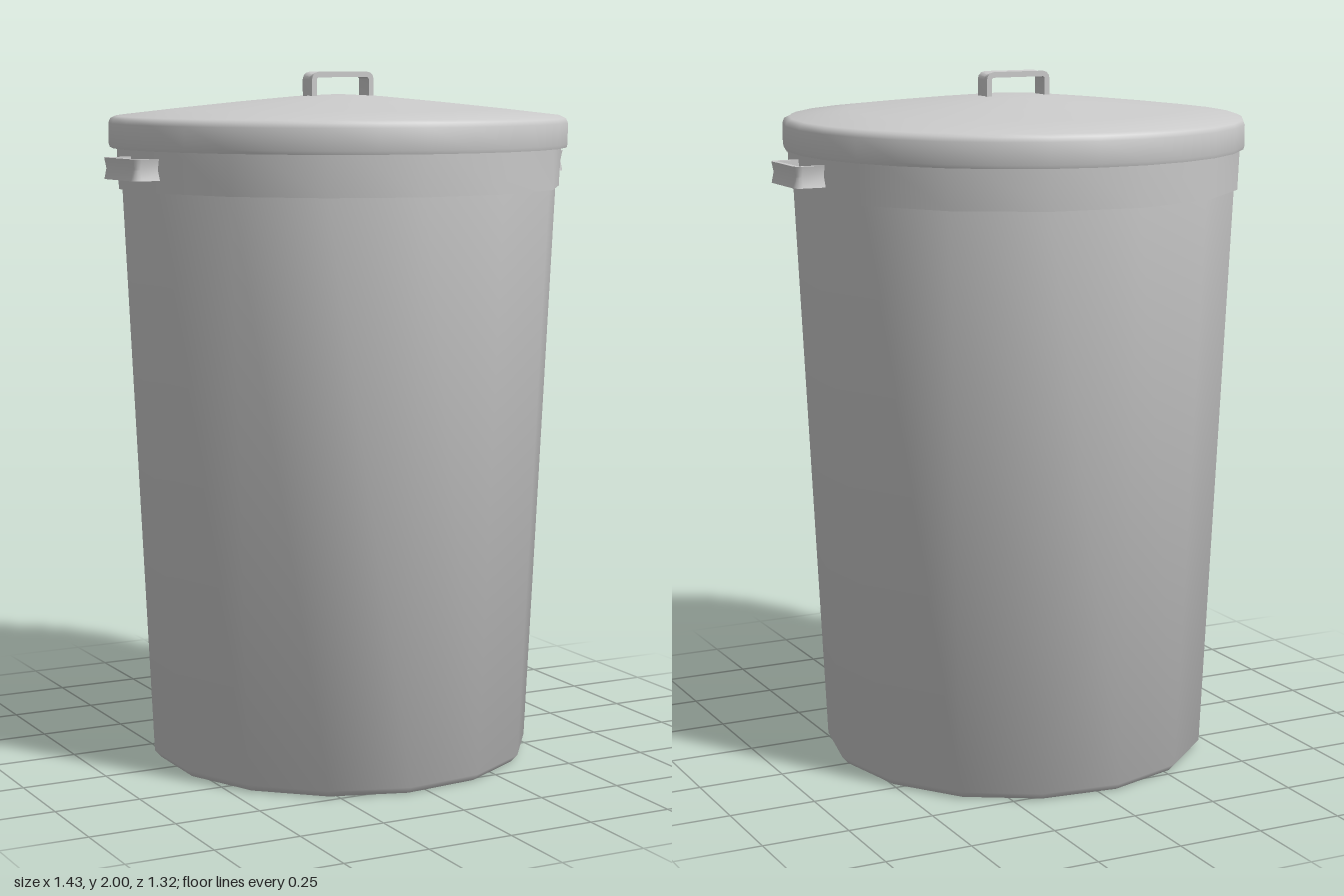
import * as THREE from 'three';
import { toCreasedNormals } from 'three/addons/utils/BufferGeometryUtils.js';

const material = new THREE.MeshStandardMaterial({ color: 0xcccccc });

// Solid of revolution with one corner pointing along +x
function turned(name, profile, sides) {
  const points = profile.map(([r, y]) => new THREE.Vector2(r, y));
  const lathe = new THREE.LatheGeometry(points, sides, Math.PI / 2);
  const mesh = new THREE.Mesh(toCreasedNormals(lathe, 0.9), material);
  mesh.name = name;
  return mesh;
}

// U-shaped strap with a shallow groove on its outer face; legs start at y = 0
function handleGeometry(halfSpan = 0.1, height = 0.095, radius = 0.022) {
  const section = [[-0.03, 0], [0, -0.006], [0.03, 0], [0.03, -0.016], [-0.03, -0.016]];
  const frames = [[-halfSpan, 0, -1, 0]];
  for (const side of [-1, 1]) {
    for (let k = 0; k <= 3; k++) {
      const a = (side < 0 ? Math.PI : Math.PI / 2) - (k / 3) * (Math.PI / 2);
      const nx = Math.cos(a), ny = Math.sin(a);
      frames.push([side * (halfSpan - radius) + nx * radius, height - radius + ny * radius, nx, ny]);
    }
  }
  frames.push([halfSpan, 0, 1, 0]);

  const positions = [], index = [], n = section.length;
  frames.forEach(([x, y, nx, ny], i) => {
    section.forEach(([w, t], j) => {
      positions.push(x + nx * t, y + ny * t, w);
      if (i < frames.length - 1) {
        const a = i * n + j, c = i * n + (j + 1) % n;
        index.push(a, c, a + n, a + n, c, c + n);
      }
    });
  });
  const geometry = new THREE.BufferGeometry();
  geometry.setAttribute('position', new THREE.Float32BufferAttribute(positions, 3));
  geometry.setIndex(index);
  return toCreasedNormals(geometry, 0.6);
}

export function createModel() {
  const model = new THREE.Group();
  model.name = 'dustbin';

  // Tapered hollow bin with a collar below the rim
  model.add(turned('bin', [
    [0, 0], [0.542, 0], [0.56, 0.02], [0.636, 1.67], [0.646, 1.67], [0.653, 1.83],
    [0.625, 1.83], [0.54, 0.03], [0, 0.03],
  ], 15));

  // Shallow domed lid with a turned-down rim
  model.add(turned('lid', [
    [0, 1.9], [0.645, 1.845], [0.655, 1.84], [0.655, 1.785], [0.661, 1.785], [0.664, 1.795],
    [0.664, 1.855], [0.659, 1.868], [0.645, 1.875],
    [0.48, 1.894], [0.3, 1.913], [0.12, 1.93], [0, 1.936],
  ], 30));

  const strap = handleGeometry();
  const lidHandle = new THREE.Mesh(strap, material);
  lidHandle.name = 'lidHandle';
  lidHandle.position.y = 1.905;
  model.add(lidHandle);

  // Side handles: the strap laid flat, legs pointing into the collar
  const sideGeometry = strap.clone().applyMatrix4(new THREE.Matrix4().makeBasis(
    new THREE.Vector3(0, 0, 1), new THREE.Vector3(1, 0, 0), new THREE.Vector3(0, 1, 0)));
  sideGeometry.translate(0.62, 1.735, 0);
  for (const [name, turn] of [['leftHandle', 0], ['rightHandle', Math.PI + 0.079]]) {
    const handle = new THREE.Mesh(sideGeometry, material);
    handle.name = name;
    handle.rotation.y = turn;
    model.add(handle);
  }
  return model;
}
